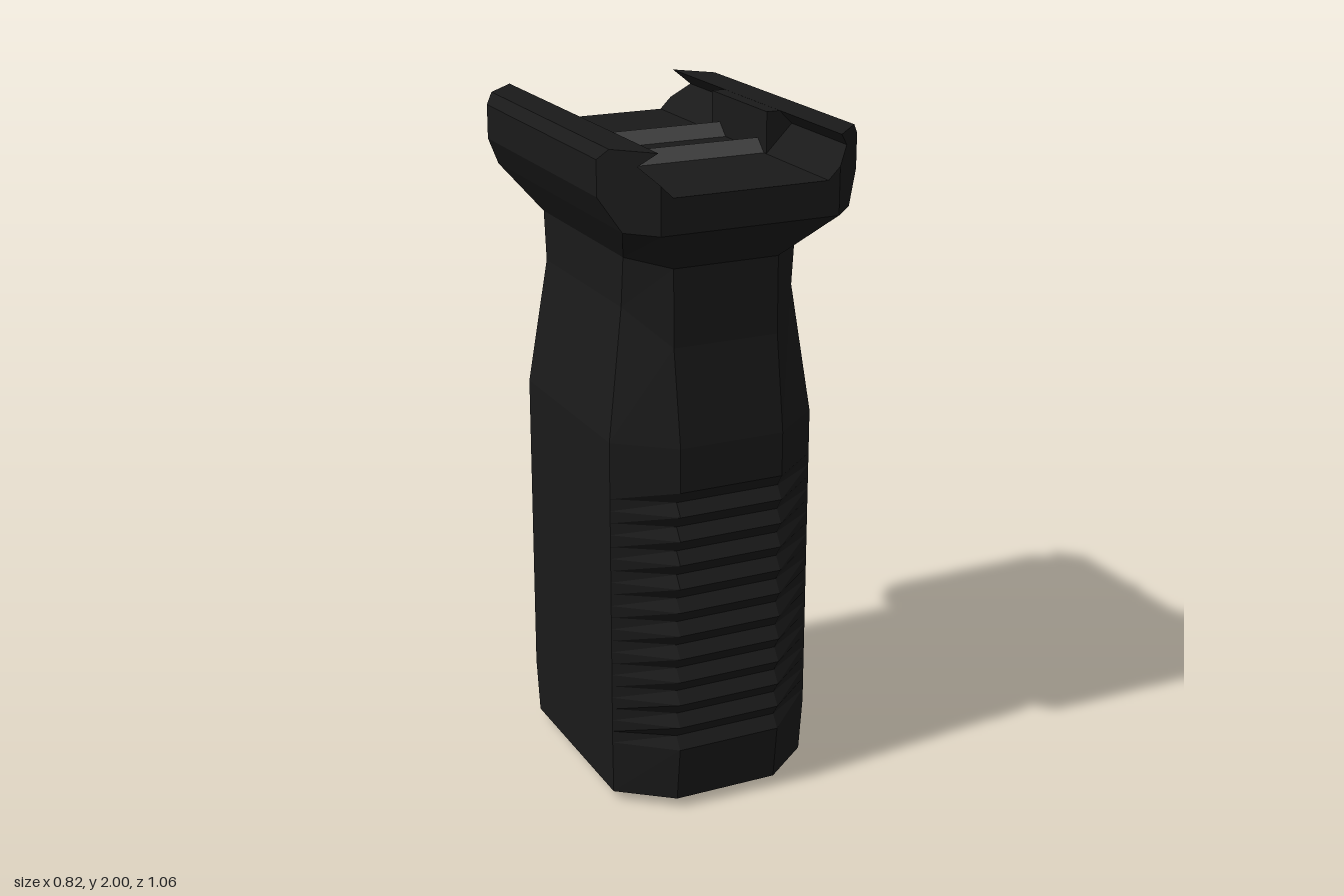
import * as THREE from 'three';

const black = new THREE.MeshStandardMaterial({ color: 0x1a1a1a, flatShading: true });
const grey = new THREE.MeshStandardMaterial({ color: 0x404040, flatShading: true });

// Skin a stack of rings (bottom to top); each end closes on a tip point
function loft(rings, bottomTip, topTip) {
  const pos = [];
  const tri = (...pts) => pts.forEach((p) => pos.push(...p));
  const n = rings[0].length;
  const last = rings[rings.length - 1];
  for (let j = 0; j < n; j++) {
    const k = (j + 1) % n;
    for (let i = 0; i < rings.length - 1; i++) {
      const a = rings[i][j], b = rings[i][k], c = rings[i + 1][k], d = rings[i + 1][j];
      tri(a, d, b);
      tri(b, d, c);
    }
    tri(bottomTip, rings[0][j], rings[0][k]);
    tri(topTip, last[k], last[j]);
  }
  const g = new THREE.BufferGeometry();
  g.setAttribute('position', new THREE.Float32BufferAttribute(pos, 3));
  g.computeVertexNormals();
  return g;
}

// Eight-cornered ring: side faces at x = hx (corner z = cz), end faces at z = fz (corner x = fx)
function octagon(ySide, yEnd, hx, cz, fx, fz) {
  return [
    [hx, ySide, cz], [fx, yEnd, fz], [-fx, yEnd, fz], [-hx, ySide, cz],
    [-hx, ySide, -cz], [-fx, yEnd, -fz], [fx, yEnd, -fz], [hx, ySide, -cz],
  ];
}

// Half length of the mount at a given distance from its middle: the corners are cut off
const mountEnd = (h) => 0.53 - Math.max(0, h - 0.265) * 1.04;

function mountPiece(points) {
  const shape = new THREE.Shape(points.map(([x, y]) => new THREE.Vector2(x, y)));
  const g = new THREE.ExtrudeGeometry(shape, { depth: 1, bevelEnabled: false });
  const p = g.attributes.position;
  for (let i = 0; i < p.count; i++) {
    p.setZ(i, (p.getZ(i) > 0.5 ? 1 : -1) * mountEnd(Math.abs(p.getX(i))));
  }
  g.computeVertexNormals();
  return g;
}

export function createModel() {
  const model = new THREE.Group();
  model.name = 'foregrip';
  const body = new THREE.Group();
  body.name = 'gripBody';
  body.position.x = -0.02;
  model.add(body);

  const add = (name, geometry, material, parent = body) => {
    const mesh = new THREE.Mesh(geometry, material);
    mesh.name = name;
    parent.add(mesh);
    return mesh;
  };

  // Handle: ribbed shaft, slimmer neck, flare under the mount
  const rings = [octagon(0.03, 0.03, 0.312, 0.29, 0.16, 0.41)];
  const ribs = 11, ribStart = 0.2, pitch = 0.0735;
  for (let i = 0; i <= ribs; i++) {
    const y = ribStart + i * pitch;
    rings.push(octagon(y, y, 0.318, 0.3, 0.16, 0.43));
    if (i < ribs) rings.push(octagon(y + pitch / 2, y + pitch / 2, 0.318, 0.3, 0.16, 0.404));
  }
  rings.push(
    octagon(1.14, 1.14, 0.318, 0.3, 0.16, 0.43),
    octagon(1.52, 1.42, 0.265, 0.27, 0.16, 0.387),
    octagon(1.665, 1.645, 0.265, 0.285, 0.16, 0.385),
    octagon(1.78, 1.78, 0.34, mountEnd(0.34), 0.265, 0.53),
  );
  add('handle', loft(rings, [0, 0, 0], [0, 1.78, 0]), black);

  // Mount floor and the two hooked jaws
  add('mountFloor', mountPiece([
    [-0.265, 1.78], [0.265, 1.78], [0.265, 1.915], [0.23, 1.88], [-0.23, 1.88], [-0.265, 1.915],
  ]), black);
  for (const s of [-1, 1]) {
    add(s > 0 ? 'leftJaw' : 'rightJaw', mountPiece([
      [0.265, 1.78], [0.34, 1.78], [0.39, 1.87], [0.39, 1.97], [0.365, 2],
      [0.27, 2], [0.31, 1.96], [0.265, 1.915],
    ].map(([x, y]) => [s * x, y])), black);
  }

  // Clamp block filling the middle of the left jaw
  add('clampBlock', new THREE.BoxGeometry(0.12, 0.129, 0.345), black, model)
    .position.set(0.27, 1.935, 0);

  // Ridged cross bars on the floor
  const ridge = new THREE.Shape([
    new THREE.Vector2(-0.038, 1.87), new THREE.Vector2(0.038, 1.87),
    new THREE.Vector2(0.038, 1.88), new THREE.Vector2(0, 1.917), new THREE.Vector2(-0.038, 1.88),
  ]);
  const bar = new THREE.ExtrudeGeometry(ridge, { depth: 0.5, bevelEnabled: false });
  bar.rotateY(Math.PI / 2);

  // Diamond bolt head with a slot across it
  const diamond = (x, xMid, y, z, zMid) => [
    [0, xMid, zMid], [-y, x, z], [-y, x, -z], [0, xMid, -zMid], [y, x, -z], [y, x, z],
  ];
  const bolt = loft([
    diamond(0.32, 0.32, 0.08, 0.012, 0.085),
    diamond(0.392, 0.392, 0.08, 0.012, 0.085),
    diamond(0.411, 0.4, 0.045, 0.036, 0.058),
  ].map((r) => [r[0], r[5], r[4], r[3], r[2], r[1]].reverse()), [0, 0.32, 0], [0, 0.398, 0]);
  // Turn the head to face the left side, keeping outward faces
  bolt.rotateZ(-Math.PI / 2);
  const boltMaterial = grey.clone();
  boltMaterial.side = THREE.DoubleSide;

  for (const z of [-0.12, 0.12]) {
    add('crossBar', bar, grey, model).position.set(-0.285, 0, z);
    add('bolt', bolt, boltMaterial, model).position.set(0, 1.88, z);
  }
  return model;
}
